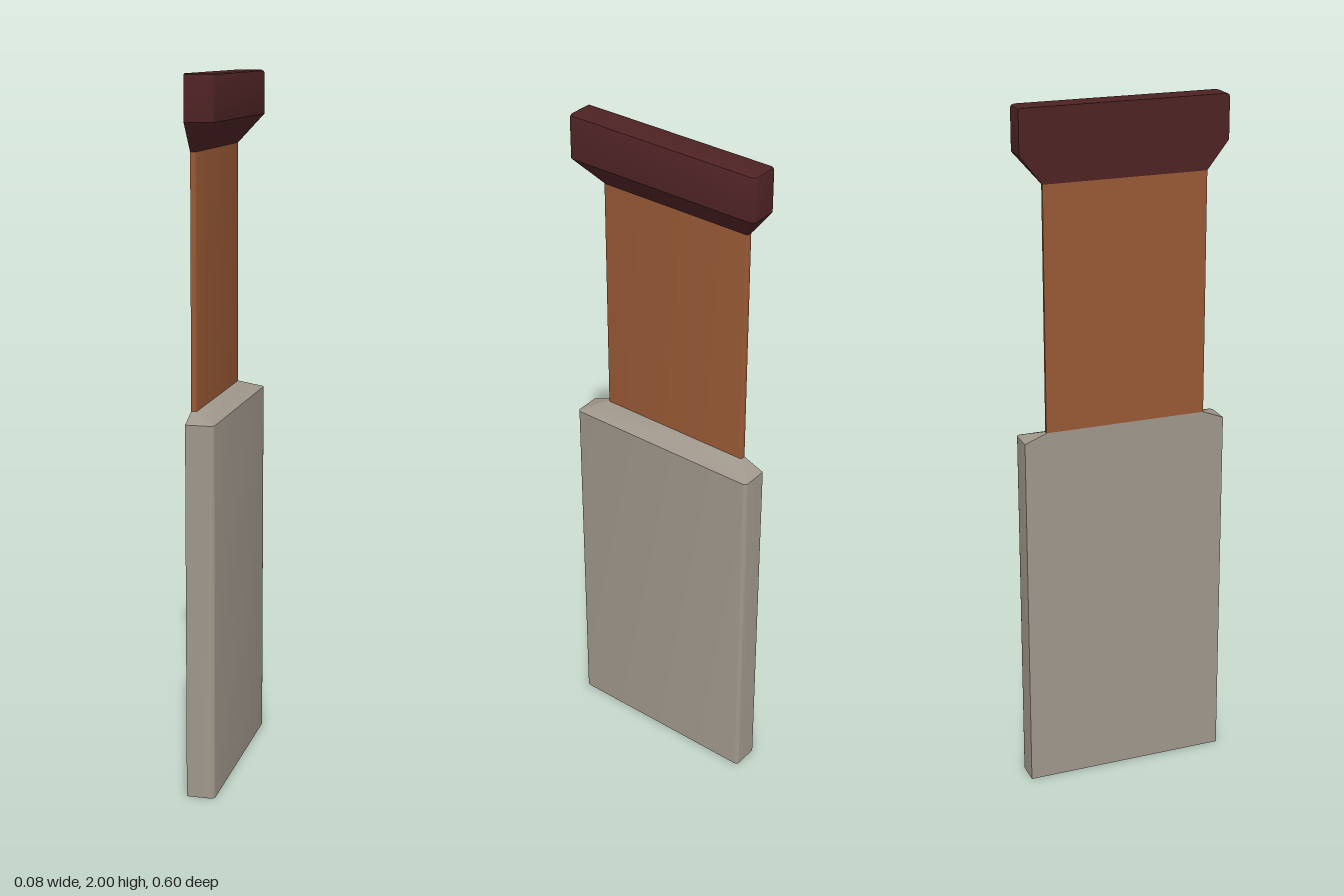
import * as THREE from 'three';
import { toCreasedNormals } from 'three/addons/utils/BufferGeometryUtils.js';

const BACK = -0.04;

// Horizontal outline: flat at the back, two rounded corners at the front.
function ring([y, halfWidth, front, radius]) {
  const points = [[BACK, y, halfWidth]];
  for (const side of [1, -1]) {
    for (let i = 0; i <= 4; i++) {
      const t = (i / 4) * Math.PI / 2;
      const a = side > 0 ? Math.PI / 2 - t : t;
      points.push([
        front - radius + radius * Math.cos(a),
        y,
        side * (halfWidth - radius + radius * Math.sin(a)),
      ]);
    }
  }
  points.push([BACK, y, -halfWidth]);
  return points;
}

// Skin a stack of outlines from bottom to top, with an optional lid.
function loft(name, sections, material, lid) {
  const rings = sections.map(ring);
  const n = rings[0].length;
  const pos = [];
  for (let k = 0; k < rings.length - 1; k++) {
    for (let i = 0; i < n; i++) {
      const j = (i + 1) % n;
      const [a, b, c, d] = [rings[k][i], rings[k][j], rings[k + 1][j], rings[k + 1][i]];
      pos.push(...a, ...b, ...c, ...a, ...c, ...d);
    }
  }
  if (lid) {
    const top = rings[rings.length - 1];
    for (let i = 1; i < n - 1; i++) pos.push(...top[0], ...top[i], ...top[i + 1]);
  }
  const geometry = new THREE.BufferGeometry();
  geometry.setAttribute('position', new THREE.Float32BufferAttribute(pos, 3));
  const mesh = new THREE.Mesh(toCreasedNormals(geometry, 0.5), material);
  mesh.name = name;
  return mesh;
}

export function createModel() {
  const stone = new THREE.MeshStandardMaterial({ name: 'warm grey stone', color: 0x9f978b, side: THREE.DoubleSide });
  const clay = new THREE.MeshStandardMaterial({ name: 'brown clay', color: 0x985935, side: THREE.DoubleSide });
  const maroon = new THREE.MeshStandardMaterial({ name: 'dark maroon', color: 0x4d2224, side: THREE.DoubleSide });

  const group = new THREE.Group();
  group.name = 'wallPilaster';

  // Sections are [height, half width, front, corner radius].
  // Hollow base, open underneath, with a sloped shoulder
  group.add(loft('base', [
    [0, 0.3, 0.04, 0.012],
    [1.07, 0.3, 0.04, 0.012],
    [1.095, 0.237, -0.025, 0.006],
  ], stone, false));

  // Thin shaft
  group.add(loft('shaft', [
    [1.095, 0.237, -0.025, 0.006],
    [1.795, 0.237, -0.025, 0.006],
  ], clay, false));

  // Flared capital with softened top edge
  group.add(loft('capital', [
    [1.795, 0.237, -0.025, 0.006],
    [1.875, 0.3, 0.04, 0.015],
    [1.99, 0.3, 0.04, 0.015],
    [1.997, 0.298, 0.037, 0.014],
    [2, 0.293, 0.03, 0.012],
  ], maroon, true));

  return group;
}
